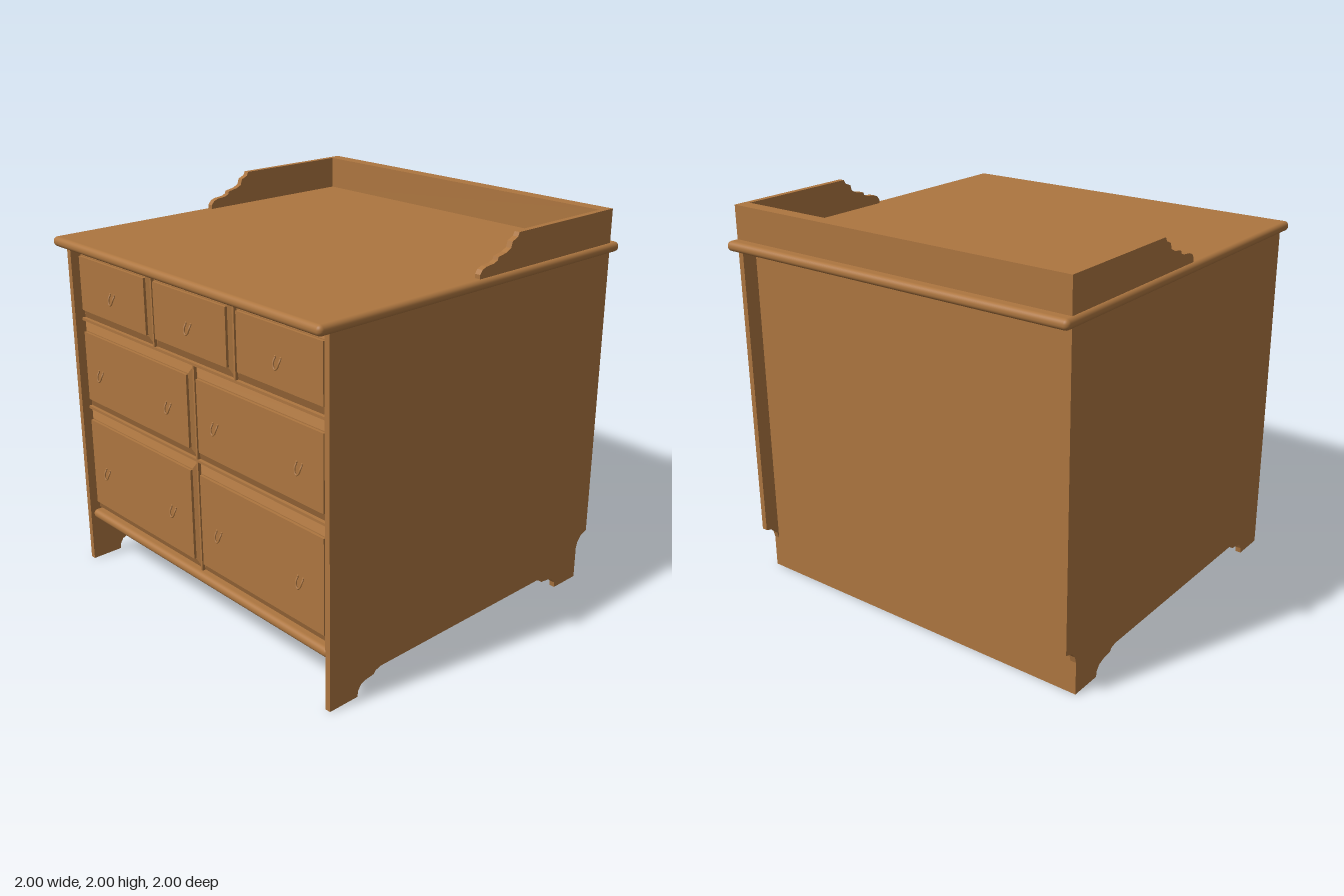
import * as THREE from 'three';
import { RoundedBoxGeometry } from 'three/addons/geometries/RoundedBoxGeometry.js';

export function createModel() {
  const root = new THREE.Group();
  root.name = 'chestOfDrawers';
  const wood = new THREE.MeshStandardMaterial({ color: 0xad7640 });
  wood.name = 'warm wood';

  const add = (name, geometry, parent = root) => {
    const mesh = new THREE.Mesh(geometry, wood);
    mesh.name = name;
    parent.add(mesh);
    return mesh;
  };
  // box given by its limits
  const box = (x0, x1, y0, y1, z0, z1) =>
    new THREE.BoxGeometry(x1 - x0, y1 - y0, z1 - z0)
      .translate((x0 + x1) / 2, (y0 + y1) / 2, (z0 + z1) / 2);
  // board cut to a (z, y) outline, spanning x from x0 to x0 + 0.03
  const board = (outline, x0) => {
    const shape = new THREE.Shape(outline.map(([z, y]) => new THREE.Vector2(z, y)));
    return new THREE.ExtrudeGeometry(shape, { depth: 0.03, bevelEnabled: false })
      .rotateY(-Math.PI / 2).translate(x0 + 0.03, 0, 0);
  };

  // worktop with rounded edges
  add('top', new RoundedBoxGeometry(2, 0.05, 2, 4, 0.024).translate(0, 1.805, 0));

  // side boards with shaped feet, and the scrolled gallery ends above
  const sideOutline = [
    [0.93, 1.79], [0.93, 0], [0.76, 0], [0.755, 0.03], [0.74, 0.055], [0.71, 0.068],
    [0.655, 0.075], [0.645, 0.09], [0.61, 0.1], [-0.53, 0.1], [-0.565, 0.09],
    [-0.575, 0.075], [-0.63, 0.068], [-0.665, 0.055], [-0.685, 0.03], [-0.69, 0],
    [-0.86, 0], [-0.86, 0.17], [-0.87, 0.205], [-0.895, 0.235], [-0.94, 0.25], [-0.94, 1.79],
  ];
  const galleryOutline = [
    [0.03, 1.825], [0.03, 1.85], [0.015, 1.87], [-0.01, 1.88], [-0.06, 1.885],
    [-0.085, 1.895], [-0.09, 1.91], [-0.145, 1.92], [-0.175, 1.935], [-0.185, 1.965],
    [-0.22, 1.98], [-0.23, 2], [-0.94, 2], [-0.94, 1.825],
  ];
  for (const [side, x0] of [['left', 0.95], ['right', -0.98]]) {
    add(side + 'Side', board(sideOutline, x0));
    add(side + 'Gallery', board(galleryOutline, x0));
  }
  add('backGallery', box(-0.95, 0.95, 1.825, 2, -0.94, -0.87));
  add('backPanel', box(-0.95, 0.95, 0, 1.79, -0.86, -0.84));

  // front rails and dividers
  add('bottomRail', new RoundedBoxGeometry(1.9, 0.05, 0.15, 3, 0.024).translate(0, 0.275, 0.845));
  for (const y of [0.895, 1.385]) add('rail', box(-0.95, 0.95, y - 0.007, y + 0.007, 0.75, 0.89));
  add('centreDivider', box(-0.006, 0.006, 0.29, 1.385, 0.75, 0.89));
  for (const x of [-0.312, 0.312]) add('topDivider', box(x - 0.006, x + 0.006, 1.385, 1.79, 0.75, 0.89));

  // U-shaped drop pull hung from two pins
  const pullCurve = new THREE.CatmullRomCurve3([
    [-0.018, 0.02, 0], [-0.018, 0, 0.012], [-0.011, -0.022, 0.017], [0, -0.03, 0.018],
    [0.011, -0.022, 0.017], [0.018, 0, 0.012], [0.018, 0.02, 0],
  ].map((p) => new THREE.Vector3(...p)));
  const pullGeo = new THREE.TubeGeometry(pullCurve, 20, 0.0045, 6);
  const pinGeo = new THREE.SphereGeometry(0.006, 8, 6);
  const addPull = (parent, x, y) => {
    const pull = new THREE.Group();
    pull.name = 'pull';
    pull.position.set(x, y, 0.905);
    add('drop', pullGeo, pull);
    for (const s of [-1, 1]) add('pin', pinGeo, pull).position.set(s * 0.018, 0.022, 0);
    parent.add(pull);
  };

  // drawer front: sloping border around a raised field
  const addDrawer = (x0, x1, y0, y1, pulls, pullY) => {
    const drawer = new THREE.Group();
    drawer.name = 'drawer';
    const border = box(x0, x1, y0, y1, 0.85, 0.892);
    const pos = border.attributes.position;
    const cx = (x0 + x1) / 2, cy = (y0 + y1) / 2;
    // push the outer edge back by splitting into slab and tapered cap
    const slab = box(x0, x1, y0, y1, 0.85, 0.875);
    for (let i = 0; i < pos.count; i++) {
      if (pos.getZ(i) > 0.88) {
        pos.setX(i, pos.getX(i) - Math.sign(pos.getX(i) - cx) * 0.03);
        pos.setY(i, pos.getY(i) - Math.sign(pos.getY(i) - cy) * 0.045);
      } else pos.setZ(i, 0.875);
    }
    border.computeVertexNormals();
    add('drawerFront', slab, drawer);
    add('drawerBorder', border, drawer);
    add('raisedField', box(x0 + 0.03, x1 - 0.03, y0 + 0.05, y1 - 0.05, 0.88, 0.905), drawer);
    for (const x of pulls) addPull(drawer, x, pullY);
    root.add(drawer);
  };

  // three small drawers over two rows of wide ones
  addDrawer(-0.945, -0.32, 1.394, 1.778, [-0.625], 1.565);
  addDrawer(-0.305, 0.305, 1.394, 1.778, [0], 1.565);
  addDrawer(0.32, 0.945, 1.394, 1.778, [0.632], 1.565);
  for (const [y0, y1, pullY] of [[0.904, 1.376, 1.12], [0.305, 0.886, 0.565]]) {
    addDrawer(-0.945, -0.008, y0, y1, [-0.78, -0.19], pullY);
    addDrawer(0.008, 0.945, y0, y1, [0.175, 0.762], pullY);
  }
  return root;
}
